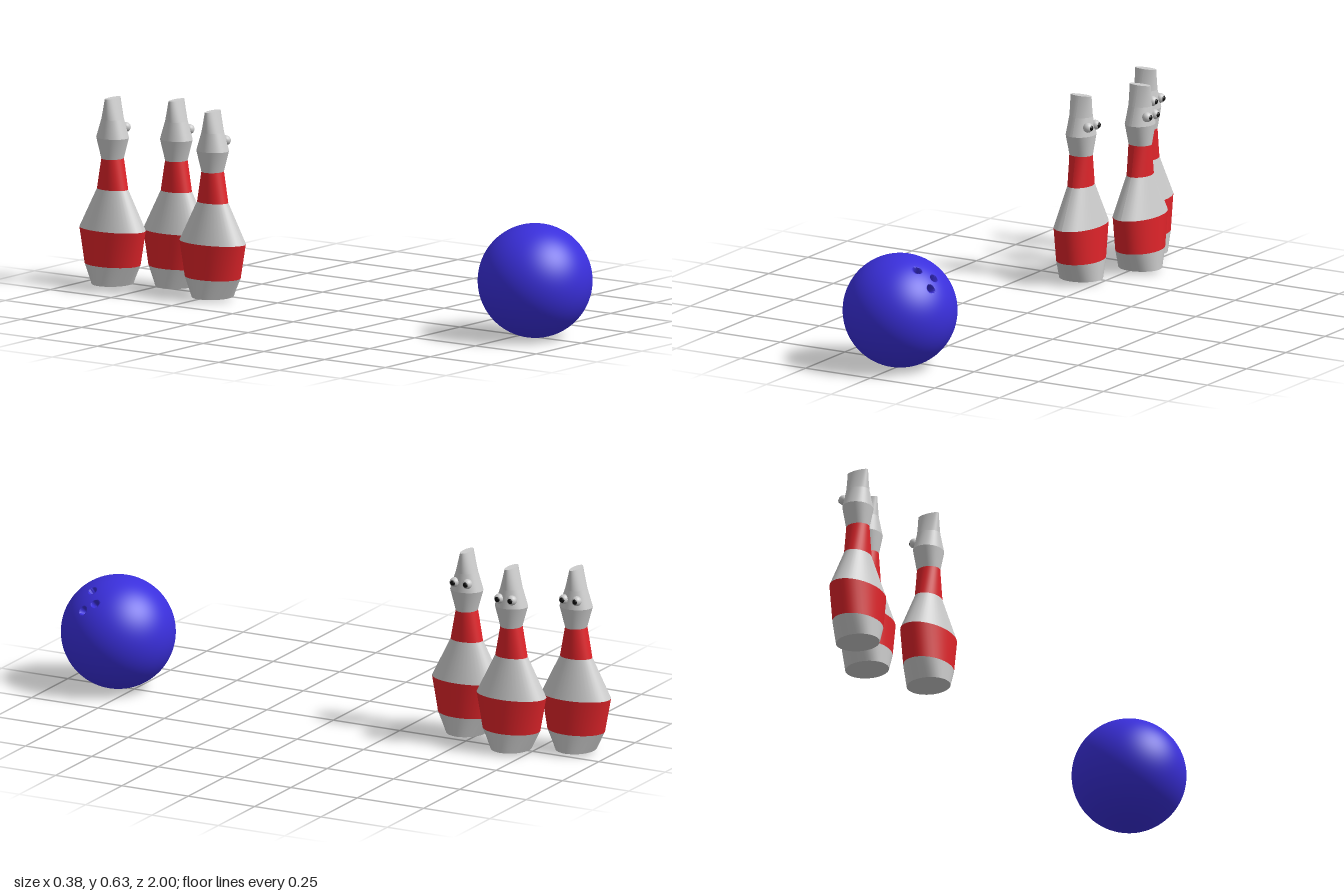
import * as THREE from 'three';
import { mergeVertices } from 'three/addons/utils/BufferGeometryUtils.js';

const paint = (color) => new THREE.MeshStandardMaterial({ color });
const grey = paint(0xcccccc);
const red = paint(0xe0242a);
const blue = paint(0x3a2fdc);
const white = paint(0xf4f4f4);
const black = paint(0x0a0a0a);

// Pin profile: height, half width in x, half width in z
const LEVELS = [
  [0.01, 0.075, 0.067],
  [0.075, 0.075, 0.101],
  [0.193, 0.075, 0.125],
  [0.327, 0.04, 0.057],
  [0.43, 0.04, 0.036],
  [0.5, 0.049, 0.057],
  [0.562, 0.04, 0.036],
  [0.632, 0.04, 0.014],
];
const BANDS = [
  ['base', grey], ['lowerStripe', red], ['body', grey], ['upperStripe', red],
  ['neck', grey], ['face', grey], ['crown', grey],
];

// Elliptical tapered section between two profile levels
function section([y0, x0, z0], [y1, x1, z1], capped) {
  const geo = new THREE.CylinderGeometry(1, 1, 1, 40, 1, !capped);
  const p = geo.attributes.position;
  for (let i = 0; i < p.count; i++) {
    const t = p.getY(i) + 0.5;
    p.setXYZ(
      i,
      p.getX(i) * THREE.MathUtils.lerp(x0, x1, t),
      THREE.MathUtils.lerp(y0, y1, t),
      p.getZ(i) * THREE.MathUtils.lerp(z0, z1, t),
    );
  }
  geo.computeVertexNormals();
  return geo;
}

function addMesh(parent, name, geo, material, x = 0, y = 0, z = 0) {
  const mesh = new THREE.Mesh(geo, material);
  mesh.name = name;
  mesh.position.set(x, y, z);
  parent.add(mesh);
  return mesh;
}

function makePin() {
  const pin = new THREE.Group();
  BANDS.forEach(([name, material], i) => {
    const capped = i === 0 || i === BANDS.length - 1;
    addMesh(pin, name, section(LEVELS[i], LEVELS[i + 1], capped), material);
  });
  // Pair of eyes looking along +x
  for (const side of [-1, 1]) {
    const label = side > 0 ? 'right' : 'left';
    addMesh(pin, label + 'Eye', new THREE.SphereGeometry(0.0165, 24, 16), white, 0.041, 0.531, side * 0.024);
    addMesh(pin, label + 'Pupil', new THREE.SphereGeometry(0.0105, 20, 14), black, 0.0495, 0.531, side * 0.024);
  }
  return pin;
}

// Ball with three sunken finger holes; mesh rows crowd toward the holes
function ballGeometry(radius) {
  const holes = [
    new THREE.Vector3(0.095, 0.158, 0.045),
    new THREE.Vector3(0.138, 0.13, 0.013),
    new THREE.Vector3(0.15, 0.105, 0.051),
  ].map((v) => v.normalize());
  const pole = holes.reduce((sum, h) => sum.add(h), new THREE.Vector3()).normalize();
  const turn = new THREE.Quaternion().setFromUnitVectors(new THREE.Vector3(0, 1, 0), pole);

  let geo = new THREE.SphereGeometry(1, 112, 90);
  const p = geo.attributes.position;
  const v = new THREE.Vector3();
  const s = new THREE.Spherical();
  const holeAngle = 0.075;
  for (let i = 0; i < p.count; i++) {
    s.setFromVector3(v.fromBufferAttribute(p, i));
    s.phi = Math.PI * Math.pow(s.phi / Math.PI, 1.8);
    v.setFromSpherical(s).applyQuaternion(turn);
    const nearest = Math.min(...holes.map((h) => v.angleTo(h)));
    const sink = 1 - THREE.MathUtils.smoothstep(nearest, holeAngle * 0.75, holeAngle);
    v.multiplyScalar(radius - 0.03 * sink);
    p.setXYZ(i, v.x, v.y, v.z);
  }
  geo.deleteAttribute('normal');
  geo.deleteAttribute('uv');
  geo = mergeVertices(geo, 1e-5);
  geo.computeVertexNormals();
  return geo;
}

export function createModel() {
  const model = new THREE.Group();
  model.name = 'bowlingSet';

  addMesh(model, 'ball', ballGeometry(0.19), blue, 0, 0.19, 0.81);

  const spots = [[-0.073, -0.463], [0.022, -0.683], [-0.073, -0.875]];
  spots.forEach(([x, z], i) => {
    const pin = makePin();
    pin.name = 'pin' + (i + 1);
    pin.position.set(x, 0, z);
    model.add(pin);
  });
  return model;
}
